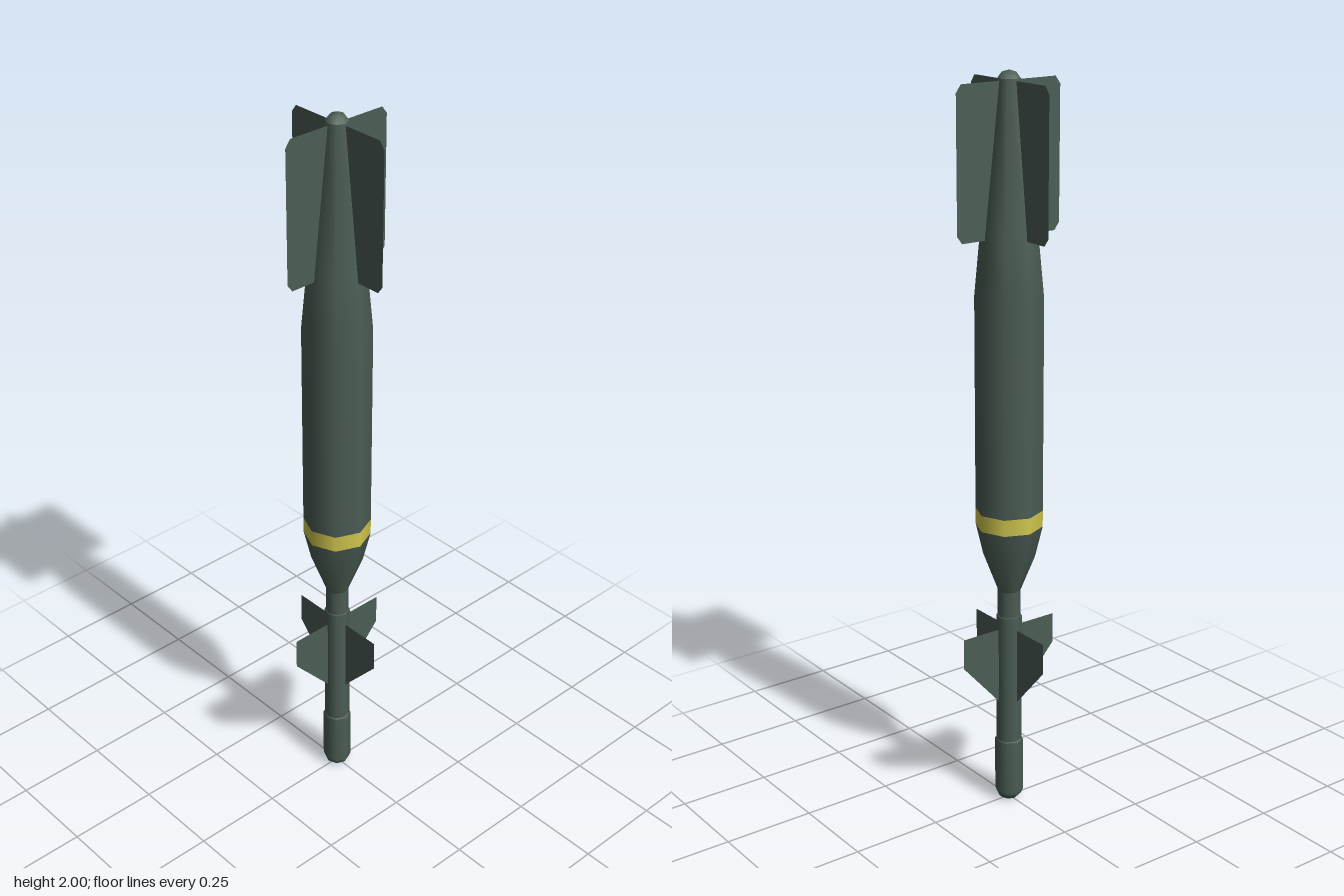
import * as THREE from 'three';

const green = new THREE.MeshStandardMaterial({ color: 0x4b5d54, side: THREE.DoubleSide });
green.name = 'dark green';
const yellow = new THREE.MeshStandardMaterial({ color: 0xd0c64e });
yellow.name = 'band yellow';

const vec = ([x, y]) => new THREE.Vector2(x, y);

// Eight-sided turned section from [radius, height] pairs, bottom to top
function turned(name, profile, material) {
  const mesh = new THREE.Mesh(new THREE.LatheGeometry(profile.map(vec), 8), material);
  mesh.name = name;
  return mesh;
}

// Four sheet fins set crosswise around the axis
function finSet(name, outline) {
  const set = new THREE.Group();
  set.name = name;
  const geometry = new THREE.ShapeGeometry(new THREE.Shape(outline.map(vec)));
  for (let i = 0; i < 4; i++) {
    const fin = new THREE.Mesh(geometry, green);
    fin.name = 'fin';
    fin.rotation.y = i * Math.PI / 2;
    set.add(fin);
  }
  return set;
}

export function createModel() {
  const model = new THREE.Group();
  model.name = 'finnedBomb';

  // Slim guidance nose and its neck
  model.add(turned('seekerHead', [[0, 0], [0.024, 0.002], [0.034, 0.012], [0.039, 0.025], [0.039, 0.178], [0.035, 0.182]], green));
  model.add(turned('controlSection', [[0.035, 0.18], [0.035, 0.55], [0.031, 0.552]], green));
  model.add(turned('neck', [[0.031, 0.55], [0.031, 0.63]], green));

  // Main body with painted band
  model.add(turned('noseCone', [[0.031, 0.625], [0.07, 0.725], [0.09, 0.81]], green));
  model.add(turned('band', [[0.09, 0.81], [0.09, 0.855]], yellow));
  model.add(turned('body', [[0.09, 0.855], [0.09, 1.43], [0.074, 1.6], [0.029, 1.98]], green));
  model.add(turned('tailCap', [[0.029, 1.98], [0.018, 1.995], [0, 2]], green));

  // Cropped steering fins and chamfered tail fins
  model.add(finSet('steeringFins', [[0.02, 0.285], [0.15, 0.43], [0.15, 0.515], [0.02, 0.515]]));
  model.add(finSet('tailFins', [
    [0.01, 1.585], [0.145, 1.585], [0.16, 1.605], [0.16, 1.955], [0.145, 1.975], [0.01, 1.975],
  ]));
  return model;
}
